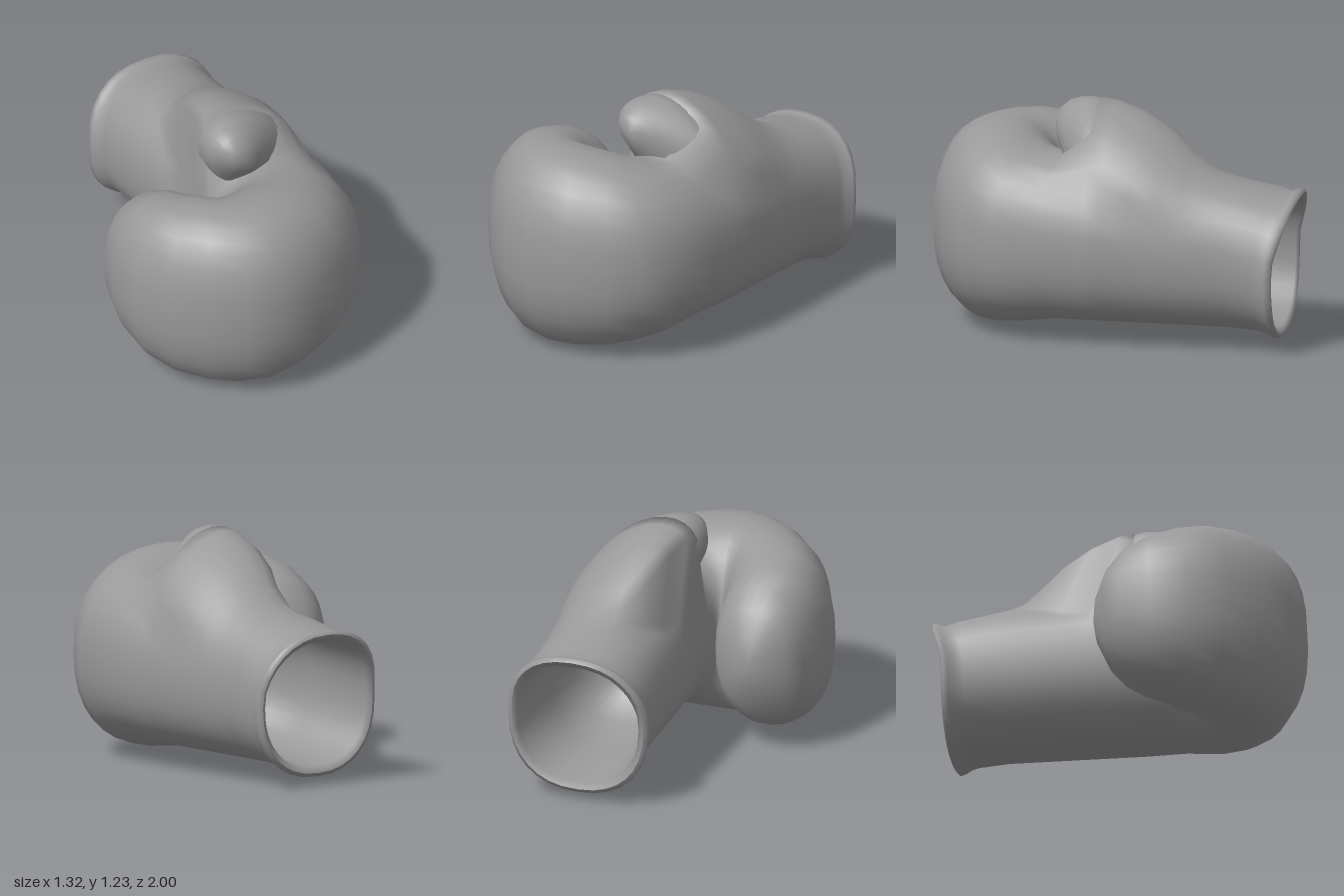
import * as THREE from 'three';
import { mergeVertices } from 'three/addons/utils/BufferGeometryUtils.js';

const SIDES = 32;
const material = new THREE.MeshStandardMaterial({ color: 0x999999, side: THREE.DoubleSide });

// Superelliptic ring around a centre, spanned by half-axes u and v.
function ring(centre, u, v, power) {
  const bend = (t) => Math.sign(t) * Math.abs(t) ** (2 / power);
  return Array.from({ length: SIDES }, (_, j) => {
    const a = (j / SIDES) * Math.PI * 2;
    return centre.clone().addScaledVector(u, bend(Math.cos(a))).addScaledVector(v, bend(Math.sin(a)));
  });
}

// Smooth skin over a row of rings.
function loft(name, rings) {
  const geometry = new THREE.BufferGeometry().setFromPoints(rings.flat());
  const index = [];
  for (let i = 0; i < rings.length - 1; i++) {
    for (let j = 0; j < SIDES; j++) {
      const k = (j + 1) % SIDES;
      const a = i * SIDES + j, b = i * SIDES + k;
      index.push(a, b, b + SIDES, a, b + SIDES, a + SIDES);
    }
  }
  geometry.setIndex(index);
  const welded = mergeVertices(geometry);
  welded.computeVertexNormals();
  const mesh = new THREE.Mesh(welded, material);
  mesh.name = name;
  return mesh;
}

// Upright ring between an outer and an inner point on the plan.
function uprightRing(ox, oz, ix, iz, low, high) {
  const centre = new THREE.Vector3((ox + ix) / 2, (low + high) / 2, (oz + iz) / 2);
  const u = new THREE.Vector3((ox - ix) / 2, 0, (oz - iz) / 2);
  return ring(centre, u, new THREE.Vector3(0, (high - low) / 2, 0), 2.3);
}

// Cuff ring square to z, its upper half reaching further back.
function cuffRing([z, outer, inner, low, high]) {
  const points = uprightRing(outer, z, inner, z, low, high);
  const fade = THREE.MathUtils.clamp((-0.6 - z) / 0.25, 0, 1);
  for (const p of points) p.z -= 0.085 * fade * THREE.MathUtils.clamp((p.y - 0.5) / 0.3, 0, 1);
  return points;
}

// Ring of the back of the hand, its top swelling softly into the thumb's root.
function handRing([z, x, y, long, short]) {
  const t = (z + 0.64) / 0.72;
  const points = uprightRing(0.6 + 0.06 * t, z, -0.1 + 0.04 * t, z, 0.09 + 0.01 * t, 0.865 + 0.06 * t);
  const sum = 1 / short ** 2 + 1 / long ** 2, lean = 1 / short ** 2 - 1 / long ** 2;
  for (const p of points) {
    const dx = p.x - x;
    const inside = (lean * dx) ** 2 - sum * (sum * dx * dx - 2);
    if (inside < 0 || p.y < 0.55) continue;
    const top = y + (Math.sqrt(inside) - lean * dx) / sum;
    p.y = (p.y + top + Math.hypot(p.y - top, 0.06)) / 2;
  }
  return points;
}

// Fist ring, always centred on the same height.
function fistRing([ox, oz, ix, iz, half]) {
  return uprightRing(ox, oz, ix, iz, 0.53 - half, 0.53 + half);
}

// Ring across the thumb, leaning down towards the left side of the glove.
function thumbRing([z, x, y, long, short]) {
  const s = Math.SQRT1_2;
  return ring(new THREE.Vector3(x, y, z),
    new THREE.Vector3(s, -s, 0).multiplyScalar(long),
    new THREE.Vector3(s, s, 0).multiplyScalar(short), 2);
}

// Cuff rows: z, outer x, inner x, bottom y, top y
const rimCrest = [-0.915, 0.61, -0.12, 0.065, 0.80];
const lining = [
  [-0.08, 0.25, 0.25, 0.46, 0.46],
  [-0.12, 0.42, 0.08, 0.28, 0.64],
  [-0.25, 0.52, -0.01, 0.18, 0.74],
  [-0.48, 0.55, -0.05, 0.14, 0.79],
  [-0.9, 0.585, -0.09, 0.10, 0.77],
  rimCrest,
];
const cuff = [
  rimCrest,
  [-0.90, 0.632, -0.145, 0.045, 0.82],
  [-0.875, 0.63, -0.14, 0.055, 0.815],
  [-0.845, 0.61, -0.115, 0.07, 0.805],
  [-0.8, 0.605, -0.11, 0.08, 0.825],
  [-0.64, 0.60, -0.10, 0.09, 0.865],
];

// Thumb rows: z, centre x, centre y, long and short radius
const thumbRoot = [
  [-0.52, 0.33, 0.68, 0.27, 0.18],
  [-0.42, 0.32, 0.74, 0.3, 0.19],
  [-0.3, 0.31, 0.80, 0.35, 0.21],
  [-0.15, 0.30, 0.86, 0.38, 0.22],
  [0, 0.265, 0.90, 0.38, 0.235],
  [0.08, 0.25, 0.925, 0.36, 0.23],
];
const thumbTip = [
  [-0.04, 0.265, 0.89, 0.34, 0.2],
  [0.08, 0.25, 0.925, 0.355, 0.225],
  [0.14, 0.21, 0.965, 0.31, 0.2],
  [0.2, 0.155, 1.01, 0.24, 0.165],
  [0.26, 0.12, 1.055, 0.165, 0.115],
  [0.31, 0.10, 1.075, 0.09, 0.07],
  [0.33, 0.10, 1.07, 0, 0],
];

// Fist rows round to the fingertips: outer x, outer z, inner x, inner z, half height
const fist = [
  [0.66, 0.32, -0.06, 0.19, 0.43],
  [0.63, 0.58, -0.07, 0.24, 0.46],
  [0.52, 0.76, -0.07, 0.26, 0.485],
  [0.37, 0.88, -0.075, 0.27, 0.51],
  [0.16, 0.97, -0.08, 0.28, 0.525],
  [-0.05, 1, -0.085, 0.28, 0.53],
  [-0.24, 0.95, -0.09, 0.28, 0.525],
  [-0.41, 0.83, -0.10, 0.27, 0.52],
  [-0.56, 0.67, -0.105, 0.24, 0.505],
  [-0.65, 0.48, -0.11, 0.21, 0.475],
  [-0.66, 0.27, -0.12, 0.16, 0.435],
  [-0.62, 0.1, -0.13, 0.1, 0.37],
  [-0.56, 0.01, -0.17, 0.03, 0.28],
  [-0.46, -0.05, -0.28, -0.04, 0.135],
  [-0.37, -0.07, -0.37, -0.07, 0],
];

export function createModel() {
  const glove = new THREE.Group();
  glove.name = 'boxingGlove';
  glove.add(
    loft('cuffLining', lining.map(cuffRing)),
    loft('handShell', [...cuff.map(cuffRing), ...thumbRoot.map(handRing), ...fist.map(fistRing)]),
    loft('thumbTip', thumbTip.map(thumbRing)),
  );
  return glove;
}
